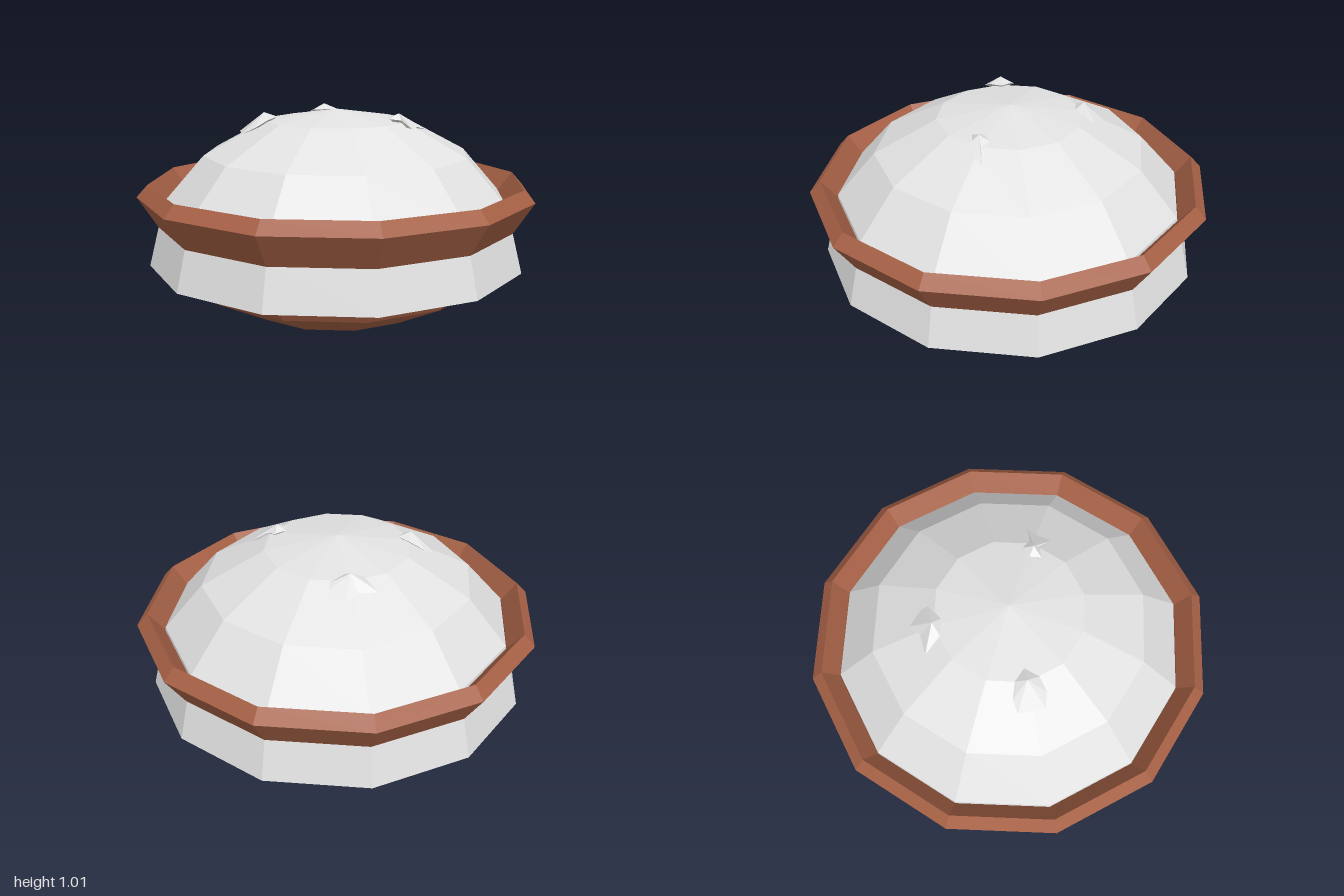
import * as THREE from 'three';

const white = new THREE.MeshStandardMaterial({ color: 0xe2e2e2, flatShading: true });
white.name = 'pale grey';
const brown = new THREE.MeshStandardMaterial({ color: 0xa56045, flatShading: true });
brown.name = 'baked brown';

// Twelve-sided turned part; the profile runs counter-clockwise from the bottom
function turned(name, material, profile) {
  const points = profile.map(([r, y]) => new THREE.Vector2(r, y));
  const mesh = new THREE.Mesh(new THREE.LatheGeometry(points, 12), material);
  mesh.name = name;
  return mesh;
}

// Height of the dome at a given radius near its top
const domeHeight = (r) => (r < 0.36 ? 1.01 - 0.153 * r : 0.955 - 0.53 * (r - 0.36));

// Jagged little peak: a closed fan from an apex to an outline on the dome
function crumb(name, apex, outline) {
  const base = outline.map(([x, z]) => [x, domeHeight(Math.hypot(x, z)) + 0.012, z]);
  const foot = [apex[0], domeHeight(Math.hypot(apex[0], apex[2])) - 0.02, apex[2]];
  const positions = [];
  base.forEach((p, i) => {
    const next = base[(i + 1) % base.length];
    positions.push(...apex, ...next, ...p, ...foot, ...p, ...next);
  });
  const geometry = new THREE.BufferGeometry();
  geometry.setAttribute('position', new THREE.Float32BufferAttribute(positions, 3));
  geometry.computeVertexNormals();
  const mesh = new THREE.Mesh(geometry, white);
  mesh.name = name;
  return mesh;
}

export function createModel() {
  const model = new THREE.Group();
  model.name = 'filledPastry';

  model.add(
    // Rounded base
    turned('base', brown, [[0, 0], [0.455, 0], [0.73, 0.14], [0.79, 0.245], [0, 0.25]]),
    // Flared layer resting on the base
    turned('fillingLayer', white, [[0, 0.243], [0.95, 0.243], [0.9, 0.44], [0, 0.44]]),
    // Bevelled crust around the dome
    turned('crustRim', brown, [
      [0.8, 0.438], [0.9, 0.438], [1, 0.595], [0.945, 0.655], [0.87, 0.56], [0.84, 0.46],
    ]),
    // Domed top
    turned('dome', white, [[0.88, 0.46], [0.865, 0.57], [0.67, 0.79], [0.36, 0.955], [0, 1.01]]),
  );

  // Peaks on the dome
  model.add(
    crumb('rightPeak', [-0.365, 1, 0], [
      [-0.48, -0.07], [-0.42, -0.08], [-0.35, -0.055], [-0.3, 0],
      [-0.35, 0.06], [-0.42, 0.08], [-0.48, 0.06],
    ]),
    crumb('backPeak', [0, 1, -0.365], [
      [-0.12, -0.425], [-0.02, -0.43], [0.04, -0.47], [0.1, -0.4],
      [0.1, -0.365], [0.02, -0.32], [-0.06, -0.34],
    ]),
    crumb('frontLeftPeak', [0.275, 1, 0.18], [
      [0.22, 0.205], [0.235, 0.15], [0.29, 0.13], [0.33, 0.175],
      [0.415, 0.18], [0.36, 0.215], [0.315, 0.28], [0.28, 0.21],
    ]),
  );
  return model;
}
